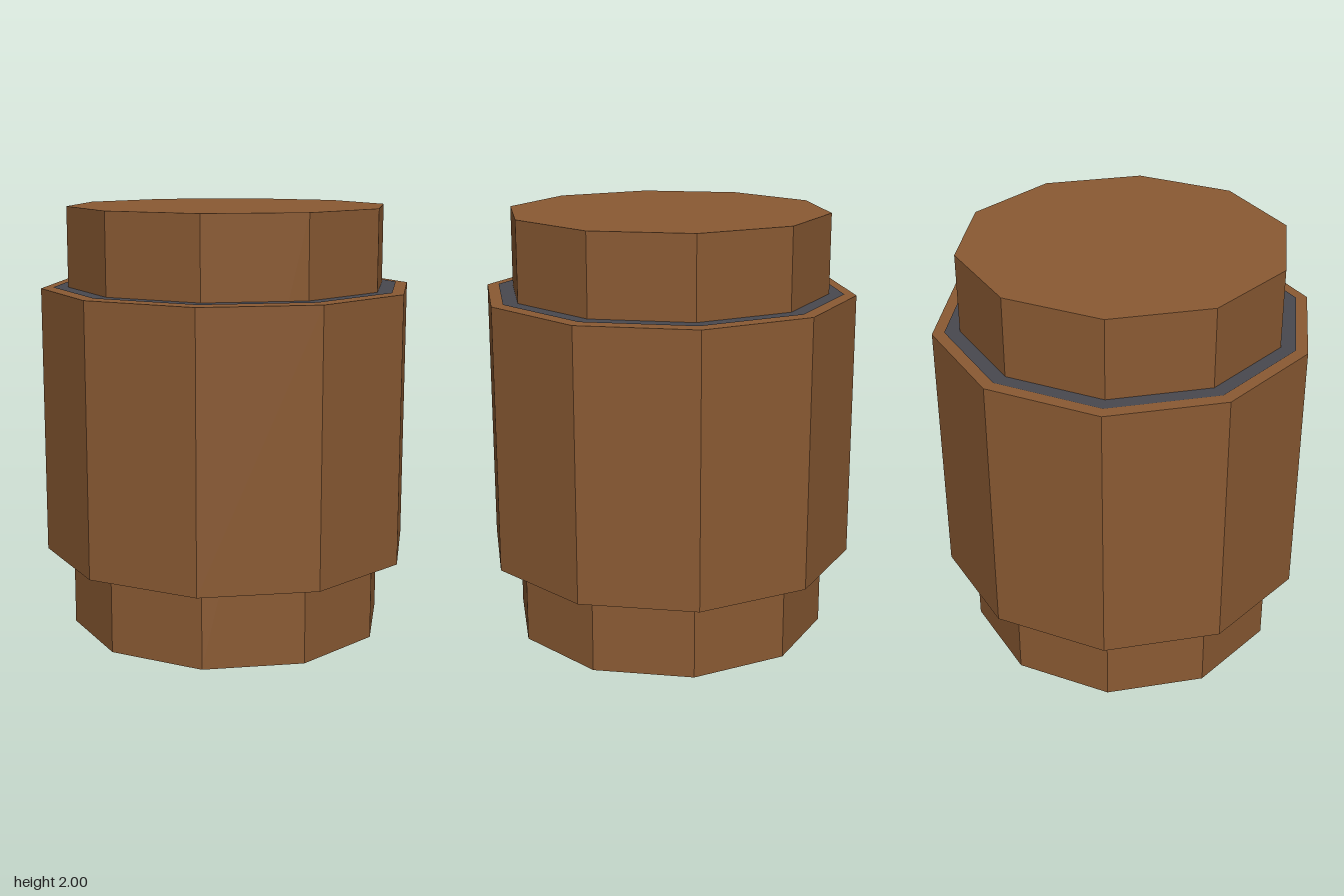
import * as THREE from 'three';

const SIDES = 10;

function material(name, color) {
  const mat = new THREE.MeshStandardMaterial({ color, flatShading: true });
  mat.name = name;
  return mat;
}

export function createModel() {
  const model = new THREE.Group();
  const brown = material('brown', 0x8a5a33);
  const grey = material('dark grey', 0x48484f);

  // Ten-sided prism centred at mid height, one corner facing the front
  const addPrism = (name, radius, height) => {
    const mesh = new THREE.Mesh(new THREE.CylinderGeometry(radius, radius, height, SIDES), brown);
    mesh.name = name;
    mesh.position.y = 1;
    model.add(mesh);
  };

  addPrism('core', 0.75, 2);      // full-height inner drum, shows as the two ends
  addPrism('sleeve', 0.875, 1.25); // wider band around the middle

  // Flat grey seals on the upper and lower ledges of the sleeve
  for (const [name, side] of [['upperSeal', 1], ['lowerSeal', -1]]) {
    const ring = new THREE.RingGeometry(0.75, 0.82, SIDES, 1, Math.PI / 2);
    const seal = new THREE.Mesh(ring, grey);
    seal.name = name;
    seal.rotation.x = -side * Math.PI / 2;
    seal.position.y = 1 + side * 0.629;
    model.add(seal);
  }
  return model;
}
